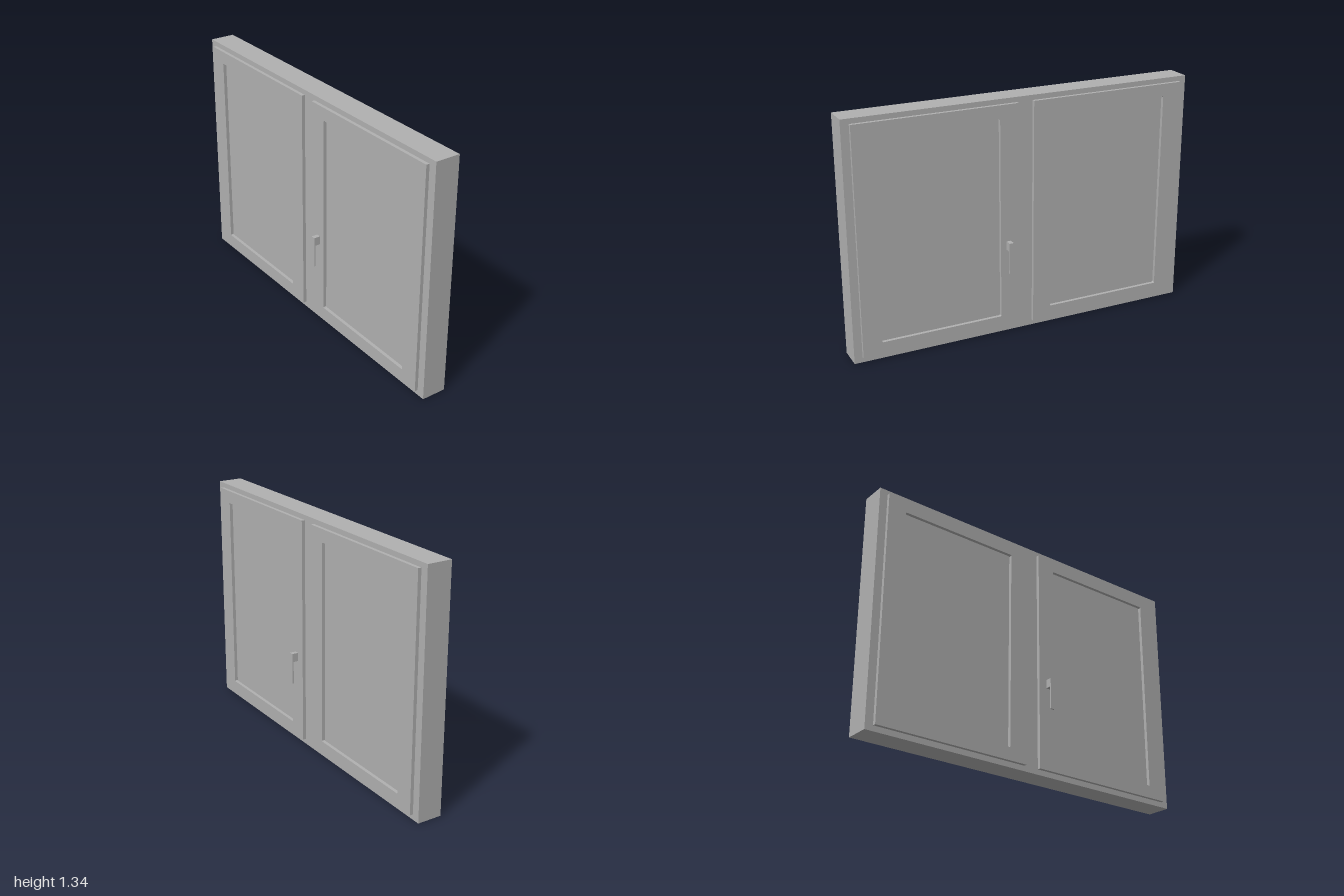
import * as THREE from 'three';

const HEIGHT = 1.34;
const grey = new THREE.MeshStandardMaterial({ color: 0xb0b0b0 });
grey.name = 'plain grey';

function addMesh(parent, name, geometry) {
  const mesh = new THREE.Mesh(geometry, grey);
  mesh.name = name;
  parent.add(mesh);
  return mesh;
}

// Box given by its lower and upper corners
function addBox(parent, name, [x0, y0, z0], [x1, y1, z1]) {
  const mesh = addMesh(parent, name, new THREE.BoxGeometry(x1 - x0, y1 - y0, z1 - z0));
  mesh.position.set((x0 + x1) / 2, (y0 + y1) / 2, (z0 + z1) / 2);
  return mesh;
}

// Rectangle in the z-y plane with a small corner cut
function rectangle(Type, z0, y0, z1, y1, c = 0) {
  const path = new Type();
  path.moveTo(z0 + c, y0);
  path.lineTo(z1 - c, y0);
  if (c) path.lineTo(z1, y0 + c);
  path.lineTo(z1, y1 - c);
  if (c) path.lineTo(z1 - c, y1);
  path.lineTo(z0 + c, y1);
  if (c) path.lineTo(z0, y1 - c);
  path.lineTo(z0, y0 + c);
  path.closePath();
  return path;
}

// Extrude a z-y outline symmetrically across x
function slab(shape, halfDepth) {
  const geometry = new THREE.ExtrudeGeometry(shape, { depth: halfDepth * 2, bevelEnabled: false });
  geometry.translate(0, 0, -halfDepth);
  geometry.rotateY(-Math.PI / 2);
  return geometry;
}

export function createModel() {
  const model = new THREE.Group();
  model.name = 'doubleWindow';

  // Outer frame with a central mullion
  const frame = rectangle(THREE.Shape, -1, 0, 1, HEIGHT);
  for (const side of [-1, 1]) {
    const a = side * 0.07, b = side * 0.93;
    frame.holes.push(rectangle(THREE.Path, Math.min(a, b), 0.06, Math.max(a, b), 1.28));
  }
  addMesh(model, 'outerFrame', slab(frame, 0.07));

  // Two sashes, each with a recessed pane
  for (const side of [-1, 1]) {
    const leaf = new THREE.Group();
    leaf.name = side > 0 ? 'openingLeaf' : 'secondLeaf';
    const centre = side * 0.5;
    const sash = rectangle(THREE.Shape, centre - 0.455, 0.03, centre + 0.455, 1.312);
    sash.holes.push(rectangle(THREE.Path, centre - 0.348, 0.102, centre + 0.348, 1.24, 0.004));
    addMesh(leaf, 'sash', slab(sash, 0.089));
    addBox(leaf, 'pane', [-0.07, 0.09, centre - 0.36], [0.07, 1.25, centre + 0.36]);
    model.add(leaf);
  }

  // Handles on both faces of the opening leaf
  for (const side of [-1, 1]) {
    const handle = new THREE.Group();
    handle.name = side > 0 ? 'leftHandle' : 'rightHandle';
    const span = (near, far) => [Math.min(side * near, side * far), Math.max(side * near, side * far)];
    const [s0, s1] = span(0.085, 0.118);
    const [l0, l1] = span(0.118, 0.126);
    addBox(handle, 'handleStem', [s0, 0.497, 0.093], [s1, 0.546, 0.118]);
    addBox(handle, 'handleLever', [l0, 0.368, 0.093], [l1, 0.546, 0.118]);
    model.add(handle);
  }

  return model;
}
